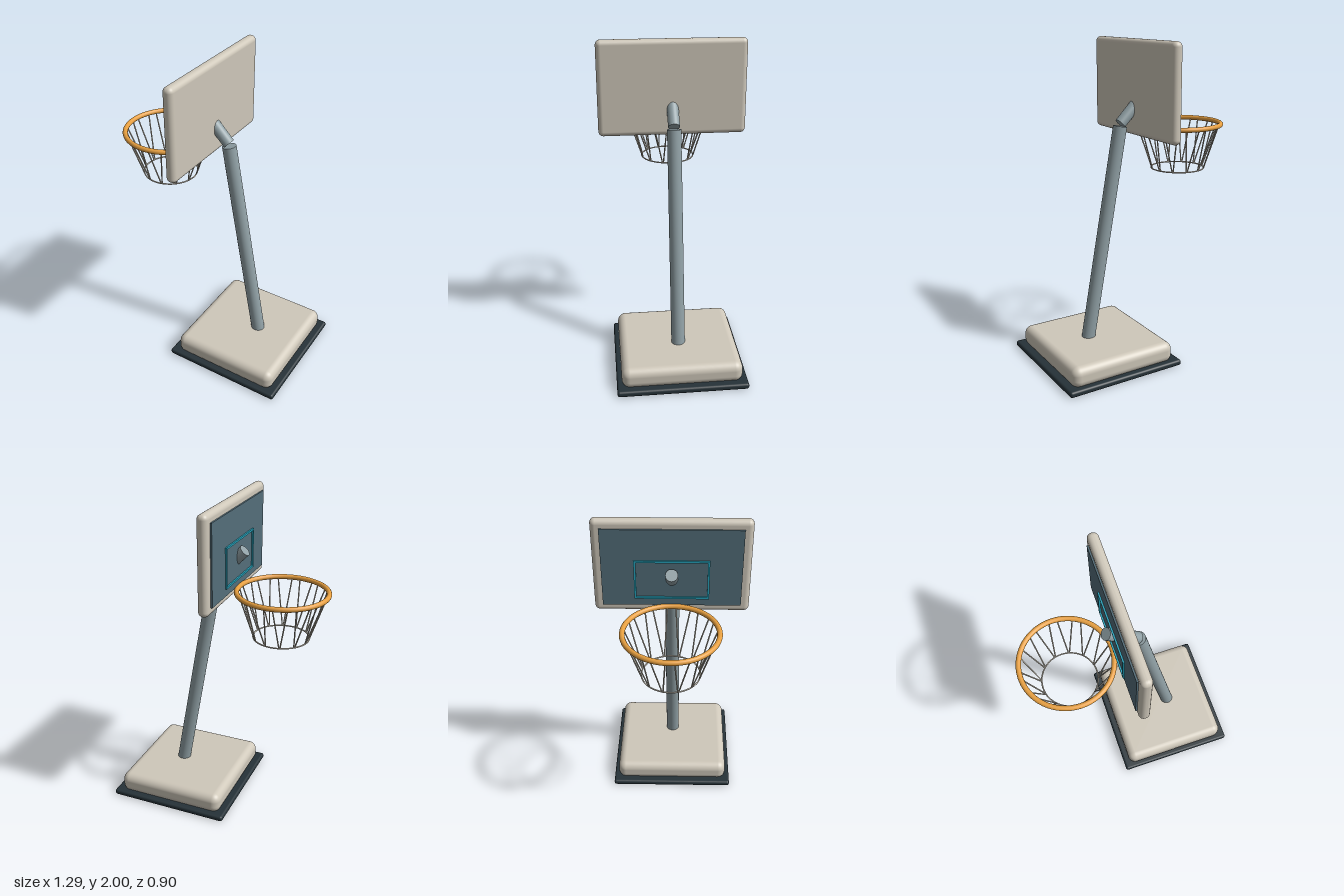
import * as THREE from 'three';
import { RoundedBoxGeometry } from 'three/addons/geometries/RoundedBoxGeometry.js';

const mat = (color) => new THREE.MeshStandardMaterial({ color });
const V = (x, y, z) => new THREE.Vector3(x, y, z);

export function createModel() {
  const model = new THREE.Group();
  model.name = 'basketballHoop';
  const cream = mat(0xcfc8ba), dark = mat(0x263238), steel = mat(0x90a0a5);
  const slate = mat(0x546e7a), cyan = mat(0x26a5be), orange = mat(0xe8a040);

  const add = (name, geometry, material, parent = model) => {
    const mesh = new THREE.Mesh(geometry, material);
    mesh.name = name;
    parent.add(mesh);
    return mesh;
  };

  // Rounded box given by its minimum and maximum corners
  const roundedBox = (name, min, max, radius, material) => {
    const size = max.clone().sub(min);
    const mesh = add(name, new RoundedBoxGeometry(size.x, size.y, size.z, 5, radius), material);
    mesh.position.copy(min).add(max).multiplyScalar(0.5);
  };

  // Cylinder running between two points
  const rod = (name, a, b, radius, material, sides, parent) => {
    const dir = b.clone().sub(a);
    const mesh = add(name, new THREE.CylinderGeometry(radius, radius, dir.length(), sides), material, parent);
    mesh.position.copy(a).add(b).multiplyScalar(0.5);
    mesh.quaternion.setFromUnitVectors(V(0, 1, 0), dir.normalize());
  };

  // Base
  roundedBox('baseMat', V(-0.135, 0, -0.4), V(0.645, 0.037, 0.4), 0.015, dark);
  roundedBox('baseBlock', V(-0.095, 0.02, -0.37), V(0.605, 0.153, 0.37), 0.05, cream);

  // Leaning pole and the arm that carries the board
  rod('pole', V(0.321, 0.1, 0), V(0.071, 1.482, 0), 0.043, steel, 32);
  rod('arm', V(0.069, 1.497, 0), V(-0.12, 1.688, 0), 0.036, steel, 32);

  // Backboard with inset panel
  roundedBox('backboard', V(-0.075, 1.42, -0.45), V(-0.01, 2, 0.45), 0.03, cream);
  const panel = add('backboardPanel', new THREE.BoxGeometry(0.02, 0.48, 0.8), slate);
  panel.position.set(-0.075, 1.71, 0);

  // Target frame: rectangle with a rectangular hole
  const rect = (path, w, h) => path.moveTo(-w, -h).lineTo(w, -h).lineTo(w, h).lineTo(-w, h).closePath();
  const outline = rect(new THREE.Shape(), 0.215, 0.123);
  outline.holes.push(rect(new THREE.Path(), 0.203, 0.111));
  const frame = add('targetFrame', new THREE.ExtrudeGeometry(outline, { depth: 0.015, bevelEnabled: false }), cyan);
  frame.rotation.y = -Math.PI / 2;
  frame.position.set(-0.08, 1.64, 0);

  // Rim and net
  const hoop = new THREE.Group();
  hoop.name = 'hoop';
  hoop.position.set(-0.36, 1.463, 0);
  model.add(hoop);
  const rim = add('rim', new THREE.TorusGeometry(0.271, 0.0155, 14, 64), orange, hoop);
  rim.rotation.x = Math.PI / 2;
  const netRing = add('netRing', new THREE.TorusGeometry(0.17, 0.0045, 8, 48), cream, hoop);
  netRing.rotation.x = Math.PI / 2;
  netRing.position.y = -0.285;

  // Twelve V-shaped pairs of cords
  const around = (r, y, degrees) => {
    const a = THREE.MathUtils.degToRad(degrees);
    return V(r * Math.sin(a), y, r * Math.cos(a));
  };
  for (let i = 0; i < 12; i++) {
    const angle = 15 + i * 30;
    for (const side of [-1, 1]) {
      rod('netCord', around(0.17, -0.285, angle + side), around(0.262, -0.004, angle + side * 9.5), 0.0042, cream, 8, hoop);
    }
  }
  return model;
}
